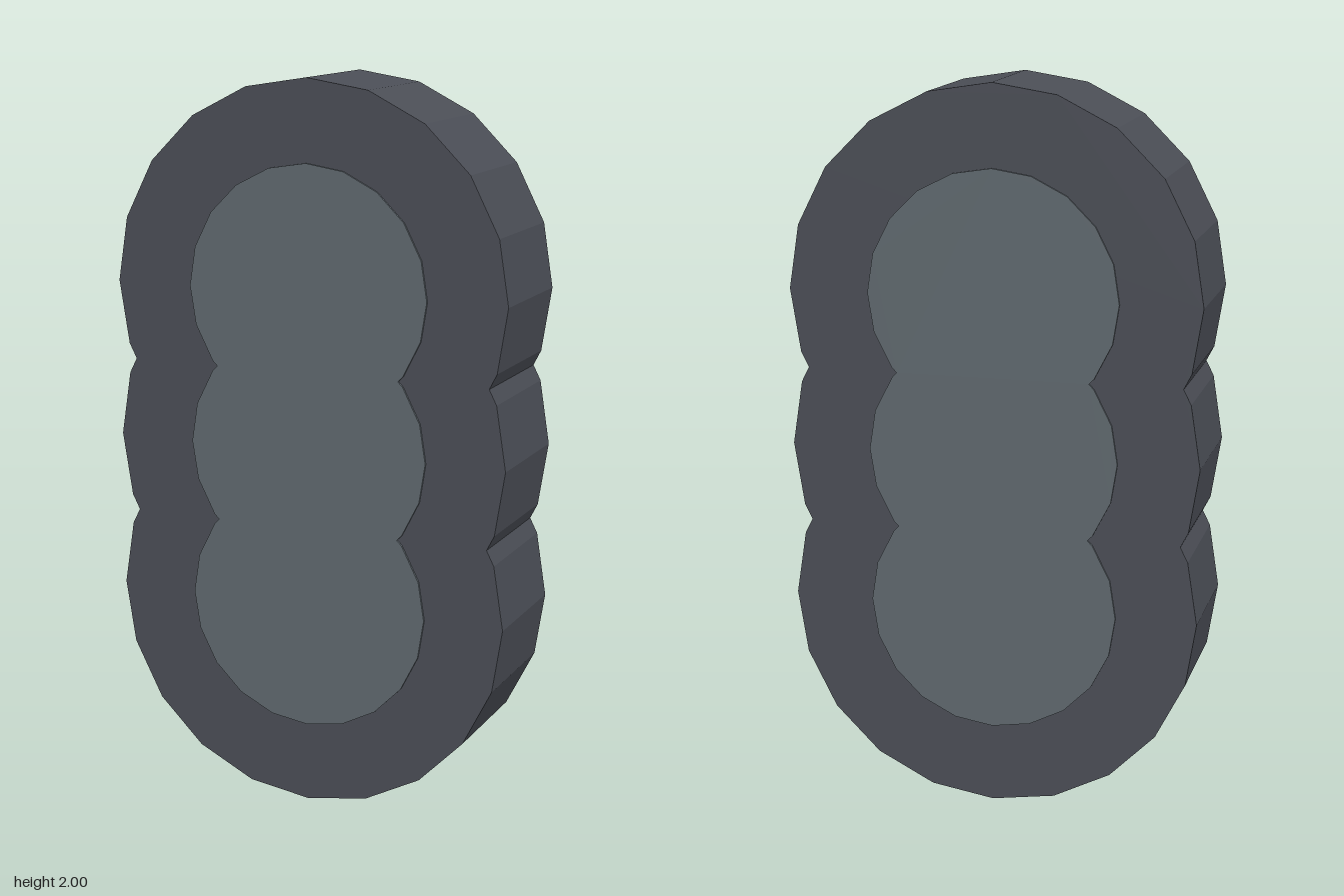
import * as THREE from 'three';

const PITCH = 0.433; // spacing of the three stacked lobes
const SIDES = 20;

// Outline of three merged 20-sided discs, traced up the right side and mirrored
function lobedShape(radius) {
  const half = PITCH / 2;
  const ring = Array.from({ length: SIDES / 2 + 1 }, (_, i) => {
    const a = -Math.PI / 2 + (i * 2 * Math.PI) / SIDES;
    return new THREE.Vector2(radius * Math.cos(a), radius * Math.sin(a));
  });

  // Where neighbouring discs cross, halfway between their centres
  const k = ring.findIndex((p) => p.y > half);
  const notchX = THREE.MathUtils.mapLinear(half, ring[k - 1].y, ring[k].y, ring[k - 1].x, ring[k].x);

  const right = [];
  for (let lobe = -1; lobe <= 1; lobe++) {
    const cy = 1 + lobe * PITCH;
    for (const p of ring) {
      const cutBelow = lobe > -1 && p.y < -half;
      const cutAbove = lobe < 1 && p.y > half;
      if (!cutBelow && !cutAbove) right.push(new THREE.Vector2(p.x, cy + p.y));
    }
    if (lobe < 1) right.push(new THREE.Vector2(notchX, cy + half));
  }
  const left = right.slice(1, -1).reverse().map((p) => new THREE.Vector2(-p.x, p.y));
  return new THREE.Shape([...right, ...left]);
}

function slab(name, radius, z0, z1, material) {
  const geometry = new THREE.ExtrudeGeometry(lobedShape(radius), { depth: z1 - z0, bevelEnabled: false });
  geometry.translate(0, 0, z0);
  const mesh = new THREE.Mesh(geometry, material);
  mesh.name = name;
  return mesh;
}

export function createModel() {
  const group = new THREE.Group();
  group.name = 'threeLobedBlock';
  const dark = new THREE.MeshStandardMaterial({ color: 0x4b4e56, flatShading: true });
  const light = new THREE.MeshStandardMaterial({ color: 0x60696f, flatShading: true });

  // Thick outer body
  group.add(slab('outerBody', 0.567, -0.178, 0.178, dark));

  // Slightly raised inner panels on both faces
  group.add(slab('frontPanel', 0.345, 0.17, 0.184, light));
  group.add(slab('backPanel', 0.345, -0.184, -0.17, light));
  return group;
}
